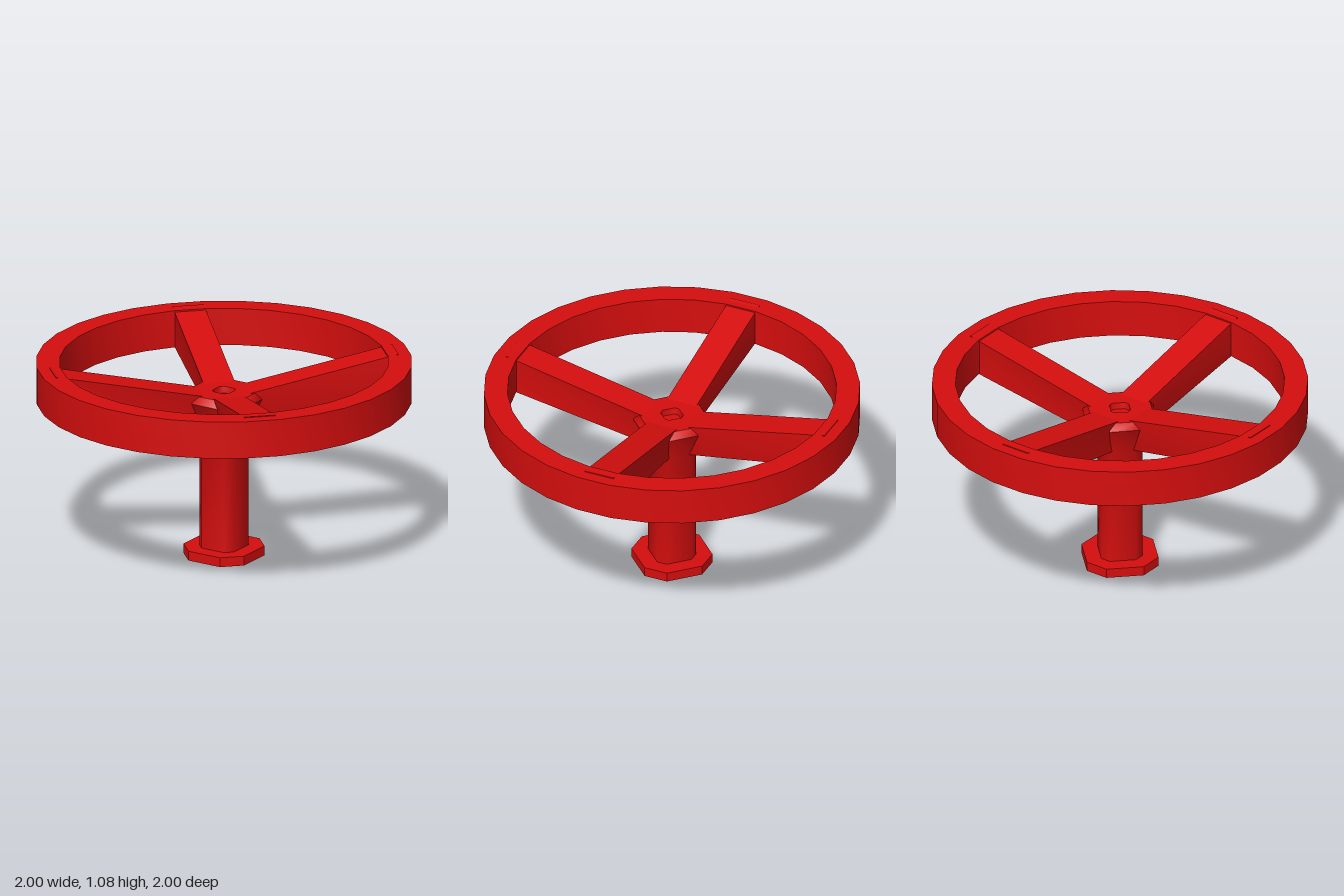
import * as THREE from 'three';
import { toCreasedNormals } from 'three/addons/utils/BufferGeometryUtils.js';

// Skin a run of matching cross-sections and cap both ends
function loft(rings, crease) {
  const n = rings[0].length;
  const index = [];
  for (let i = 0; i < rings.length - 1; i++) {
    for (let j = 0; j < n; j++) {
      const a = i * n + j, b = i * n + (j + 1) % n;
      index.push(a, b, b + n, a, b + n, a + n);
    }
  }
  const last = (rings.length - 1) * n;
  for (let j = 1; j < n - 1; j++) {
    index.push(0, j + 1, j, last, last + j, last + j + 1);
  }
  const geo = new THREE.BufferGeometry();
  geo.setAttribute('position', new THREE.Float32BufferAttribute(rings.flat(2), 3));
  geo.setIndex(index);
  geo.computeVertexNormals();
  return toCreasedNormals(geo, crease);
}

// Square with cut corners: half = half width, flat = half length of a side
function cutSquare(half, flat, y) {
  const r = Math.hypot(half, flat), t = Math.atan2(flat, half);
  const ring = [];
  for (let k = 0; k < 4; k++) {
    for (const s of [-t, t]) {
      const a = k * Math.PI / 2 + s;
      ring.push([r * Math.cos(a), y, -r * Math.sin(a)]);
    }
  }
  return ring;
}

// Spoke section at distance r from the axis
function spokeSection(r, low, high, lowHalf, highHalf) {
  return [[r, low, lowHalf], [r, low, -lowHalf], [r, high, -highHalf], [r, high, highHalf]];
}

export function createModel() {
  const group = new THREE.Group();
  const red = new THREE.MeshStandardMaterial({ color: 0xd60e0e });
  red.name = 'red';
  const turn = Math.PI / 32;

  const add = (name, geo, angle = 0) => {
    const mesh = new THREE.Mesh(geo, red);
    mesh.name = name;
    mesh.rotation.y = angle;
    group.add(mesh);
  };

  // Rim
  const section = [[1, 0.875], [1, 1.08], [0.875, 1.08], [0.875, 0.875], [1, 0.875]]
    .map(([x, y]) => new THREE.Vector2(x, y));
  add('rim', toCreasedNormals(new THREE.LatheGeometry(section, 32), 0.5));

  // Stem flaring into the hub, with a small socket in its top
  add('stemAndHub', loft([
    cutSquare(0.11, 0.07, 0.04),
    cutSquare(0.11, 0.07, 0.72),
    cutSquare(0.19, 0.08, 0.88),
    cutSquare(0.167, 0.08, 0.92),
    cutSquare(0.052, 0.034, 0.92),
    cutSquare(0.048, 0.03, 0.885),
  ], 0.9), turn);

  // Foot
  add('foot', loft([cutSquare(0.192, 0.1, 0), cutSquare(0.192, 0.1, 0.052)], 0.5), turn);

  // Four spokes rising from the hub to the rim
  const spoke = loft([
    spokeSection(0.1, 0.712, 0.915, 0.035, 0.085),
    spokeSection(0.93, 0.882, 1.084, 0.085, 0.085),
  ], 0.4);
  for (let k = 0; k < 4; k++) {
    add('spoke' + (k + 1), spoke, turn + Math.PI / 4 + k * Math.PI / 2);
  }

  return group;
}
